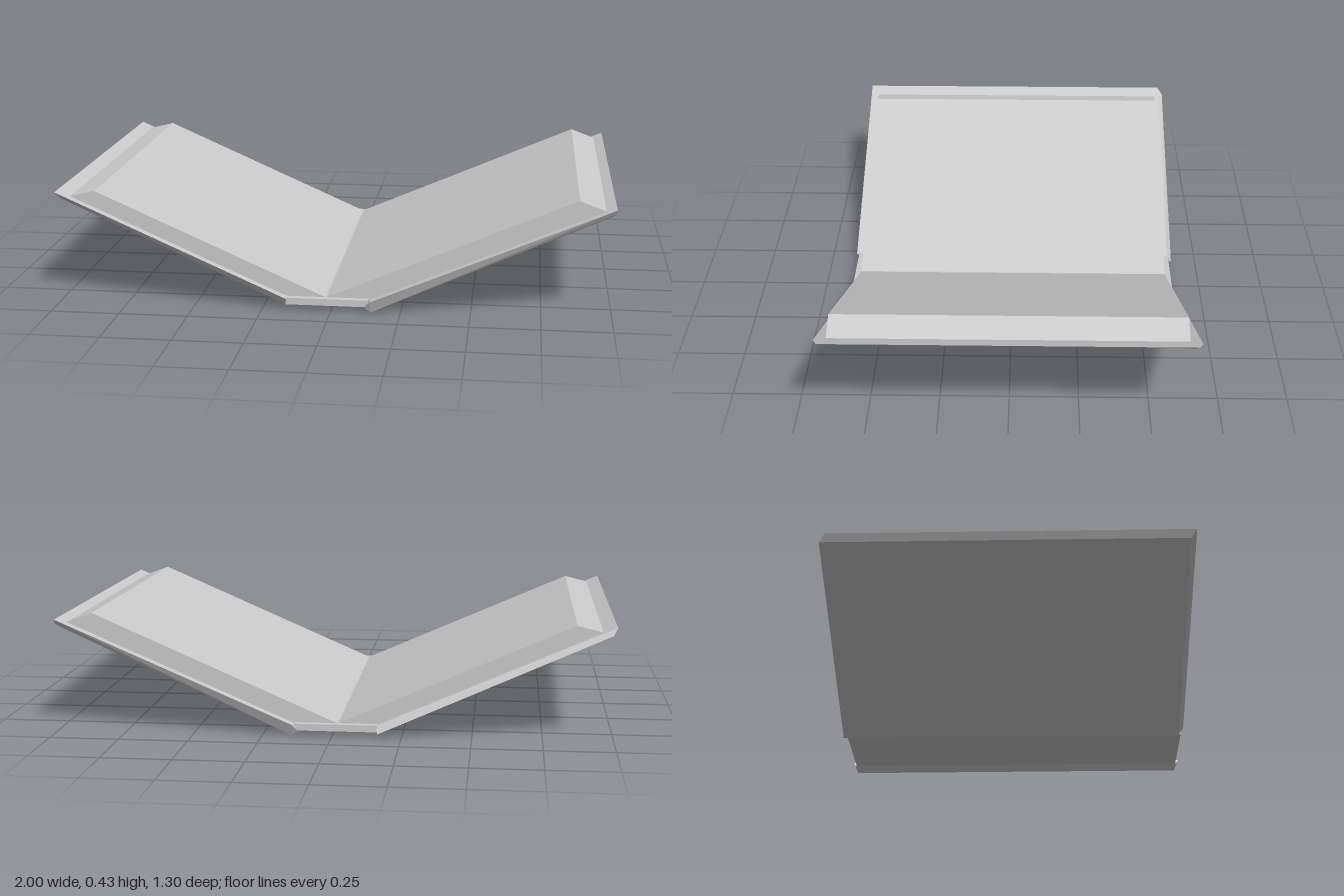
import * as THREE from 'three';
import { ConvexGeometry } from 'three/addons/geometries/ConvexGeometry.js';

export function createModel() {
  const book = new THREE.Group();
  book.name = 'openBook';
  const grey = new THREE.MeshStandardMaterial({ color: 0xcccccc });
  grey.name = 'pale grey';

  // Convex board from points [x, y, back z, front z]; differing z gives bevelled edges
  function board(name, profile) {
    const points = profile.flatMap(([x, y, back, front]) => [
      new THREE.Vector3(x, y, back),
      new THREE.Vector3(x, y, front),
    ]);
    const mesh = new THREE.Mesh(new ConvexGeometry(points), grey);
    mesh.name = name;
    book.add(mesh);
  }

  // Covers, with slanted edges
  board('rightCover', [
    [-1.0, 0.414, -0.63, 0.645],
    [-0.16, 0.043, -0.63, 0.645],
    [-0.165, 0.016, -0.65, 0.625],
    [-0.985, 0.388, -0.65, 0.625],
  ]);
  board('leftCover', [
    [1.0, 0.41, -0.65, 0.65],
    [0.14, 0.043, -0.65, 0.65],
    [0.12, 0.02, -0.64, 0.64],
    [0.145, 0, -0.63, 0.63],
    [0.985, 0.382, -0.63, 0.63],
    [1.0, 0.395, -0.64, 0.64],
  ]);

  // Flat spine joining the covers
  const spine = new THREE.Mesh(new THREE.BoxGeometry(0.3, 0.025, 1.27), grey);
  spine.name = 'spine';
  spine.position.set(-0.015, 0.0325, 0);
  book.add(spine);

  // Page blocks meeting in a valley, with fanned outer edges
  const z = 0.612;
  const pages = (name, outline) => board(name, outline.map(([x, y]) => [x, y, -z, z]));
  pages('rightPages', [[-0.02, 0.044], [-0.862, 0.415], [-0.965, 0.39], [-0.16, 0.036]]);
  pages('leftPages', [[-0.02, 0.044], [0.872, 0.43], [0.968, 0.394], [0.14, 0.036]]);

  return book;
}
